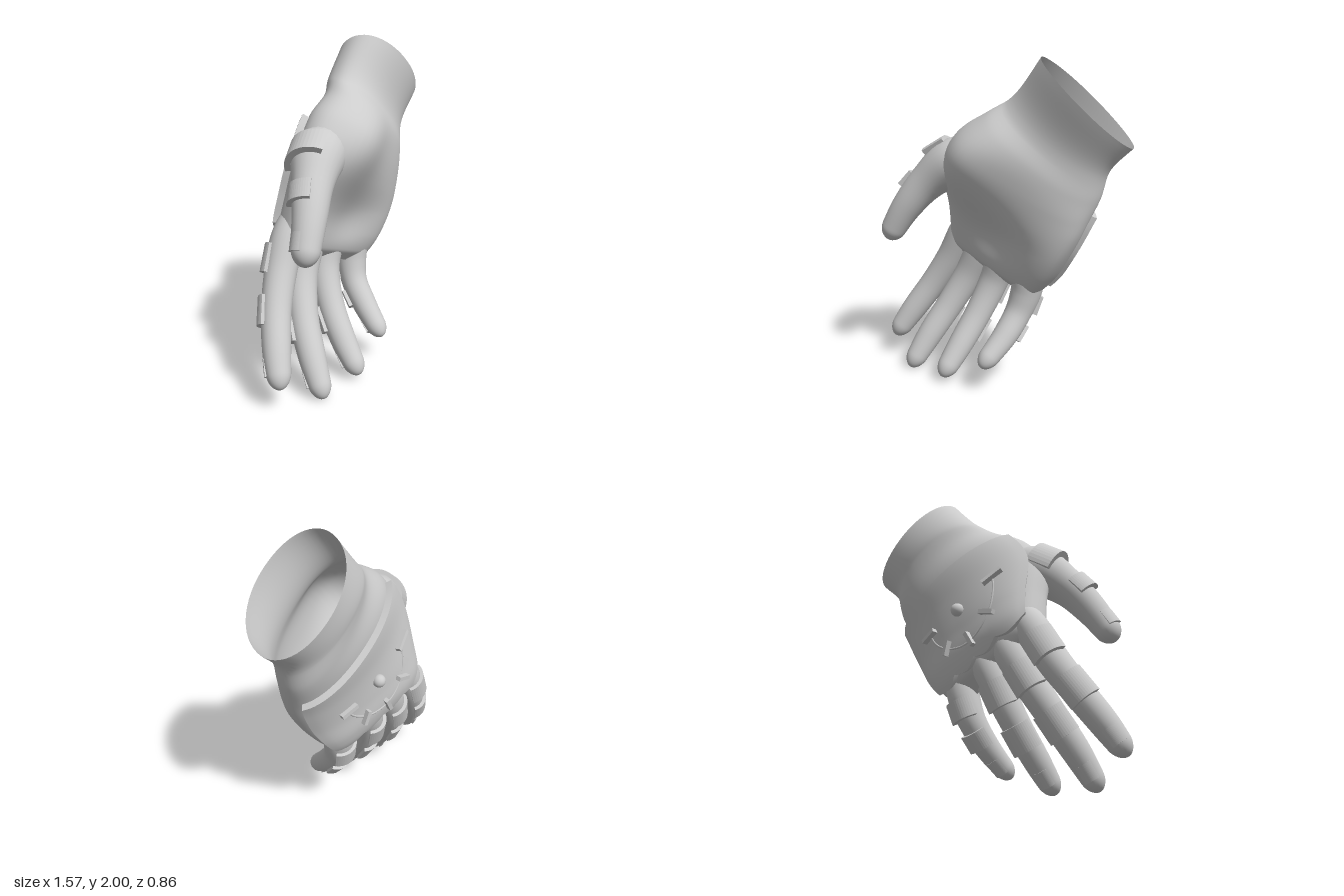
import * as THREE from 'three';
import { mergeVertices, toCreasedNormals } from 'three/addons/utils/BufferGeometryUtils.js';

const V = (x, y, z) => new THREE.Vector3(x, y, z);
const material = new THREE.MeshStandardMaterial({ color: 0xcccccc, side: THREE.DoubleSide });

function addMesh(parent, name, geometry) {
  const m = new THREE.Mesh(geometry, material);
  m.name = name;
  parent.add(m);
  return m;
}

// Skin of closed rings: point(i, j) for rings i = 0..rows and steps j = 0..cols-1
function skin(rows, cols, point) {
  const pos = [], idx = [];
  for (let i = 0; i <= rows; i++)
    for (let j = 0; j < cols; j++) pos.push(...point(i, j).toArray());
  for (let i = 0; i < rows; i++)
    for (let j = 0; j < cols; j++) {
      const k = (j + 1) % cols;
      const a = i * cols + j, b = i * cols + k;
      idx.push(a, b, a + cols, b, b + cols, a + cols);
    }
  let g = new THREE.BufferGeometry();
  g.setAttribute('position', new THREE.Float32BufferAttribute(pos, 3));
  g.setIndex(idx);
  g = mergeVertices(g, 1e-5);
  g.computeVertexNormals();
  return g;
}

// Turn a mesh so its z follows `along` and its y leans towards `up`
function orient(mesh, position, along, up) {
  const z = along.clone().normalize();
  const y = up.clone().addScaledVector(z, -up.dot(z)).normalize();
  const x = y.clone().cross(z);
  mesh.quaternion.setFromRotationMatrix(new THREE.Matrix4().makeBasis(x, y, z));
  mesh.position.copy(position);
}

// Palm sections from the wrist to the finger roots:
// thumb-side edge, little-finger-side edge, [front, back] swell
const sections = [
  [V(0.24, 1.97, -0.2), V(0.78, 1.53, -0.22), 0.23, 0.23],
  [V(0.07, 1.78, -0.12), V(0.65, 1.37, -0.2), 0.19, 0.23],
  [V(-0.04, 1.69, -0.02), V(0.605, 1.2, -0.18), 0.21, 0.25],
  [V(-0.23, 1.57, 0.04), V(0.57, 1.08, -0.14), 0.2, 0.26],
  [V(-0.37, 1.37, 0.07), V(0.53, 0.97, -0.11), 0.17, 0.24],
  [V(-0.41, 1.1, 0), V(0.46, 0.84, -0.09), 0.14, 0.19],
  [V(-0.43, 0.94, -0.03), V(0.36, 0.7, -0.09), 0.12, 0.16],
  [V(-0.44, 0.84, -0.03), V(0.27, 0.61, -0.09), 0.085, 0.115],
  [V(-0.39, 0.76, -0.02), V(0.2, 0.56, -0.08), 0.01, 0.01],
];
const thumbEdge = new THREE.CatmullRomCurve3(sections.map(s => s[0]));
const outerEdge = new THREE.CatmullRomCurve3(sections.map(s => s[1]));
const swell = new THREE.CatmullRomCurve3(sections.map((s, i) => V(s[2], s[3], i * 0.1)));
const bump = (x, width) => Math.exp(-x * x / (width * width));

// Point of the palm at t along and u = -1..1 across, on the front or the back
function palmPoint(t, u, front) {
  const w = swell.getPoint(t);
  // Oval at the wrist, boxier towards the knuckles
  const e = 2.1 + 1.1 * THREE.MathUtils.smoothstep(t, 0.4, 0.9);
  const h = Math.pow(Math.max(0, 1 - Math.pow(Math.abs(u), e)), 1 / e);
  const p = thumbEdge.getPoint(t).lerp(outerEdge.getPoint(t), (u + 1) / 2);
  // Ball of the thumb and hollow of the palm
  const relief = 0.115 * bump(u + 0.58, 0.5) * bump(t - 0.4, 0.15) - 0.04 * bump(u, 0.45) * bump(t - 0.66, 0.12);
  p.z += front ? (w.x + relief) * h : -w.y * h;
  // The wrist opening is tilted, higher in front
  p.y += (front ? 0.1 : -0.1) * h * Math.max(0, 1 - t * 6);
  return p;
}

// Back of the hand: normal, and a point raised along it
function backNormal(t, u) {
  const e = 0.01;
  const du = palmPoint(t, u + e, false).sub(palmPoint(t, u - e, false));
  const dt = palmPoint(t + e, u, false).sub(palmPoint(t - e, u, false));
  return du.cross(dt).normalize();
}
const onBack = (t, u, lift) => palmPoint(t, u, false).addScaledVector(backNormal(t, u), lift);

// A digit: points are [x, y, z, radius]; plates are [position along, length, spread]
function addDigit(hand, name, points, back, plates) {
  const group = new THREE.Group();
  group.name = name;
  hand.add(group);
  const curve = new THREE.CatmullRomCurve3(points.map(p => V(p[0], p[1], p[2])));
  curve.arcLengthDivisions = 400;
  const radii = new THREE.CatmullRomCurve3(points.map((p, i) => V(p[3], i * 0.1, 0)));
  const radius = s => radii.getPoint(curve.getUtoTmapping(s)).x;
  const roundFrom = 1 - 0.085 / curve.getLength();

  addMesh(group, name + 'Skin', skin(48, 24, (i, j) => {
    const s = Math.sin(i / 48 * Math.PI / 2);
    const k = Math.max(0, (s - roundFrom) / (1 - roundFrom));
    const r = radius(s) * Math.sqrt(Math.max(0, 1 - k * k));
    const T = curve.getTangentAt(s);
    const X = back.clone().addScaledVector(T, -back.dot(T)).normalize();
    const Y = T.clone().cross(X);
    const a = j / 24 * Math.PI * 2;
    return curve.getPointAt(s).addScaledVector(X, r * Math.cos(a)).addScaledVector(Y, r * Math.sin(a));
  }));

  // Curved armour plates, and a thin nail close to the tip
  const shells = plates.map(p => [...p, 0.022, 'Plate']);
  shells.push([roundFrom - 0.04, 0.1, 0.6, 0.006, 'Nail']);
  for (const [s, length, spread, thick, label] of shells) {
    const r = radius(s), mid = Math.PI / 2;
    const arc = new THREE.Shape();
    arc.absarc(0, 0, r + thick, mid - spread, mid + spread, false);
    arc.absarc(0, 0, r - 0.015, mid + spread, mid - spread, true);
    const g = new THREE.ExtrudeGeometry(arc, { depth: length, bevelEnabled: false, curveSegments: 8 });
    g.translate(0, 0, -length / 2);
    orient(addMesh(group, name + label, g), curve.getPointAt(s), curve.getTangentAt(s), back);
  }
}

export function createModel() {
  const hand = new THREE.Group();
  hand.name = 'glovedHand';

  // Palm and open wrist
  addMesh(hand, 'palm', skin(72, 56, (i, j) => {
    const a = j / 56 * Math.PI * 2;
    return palmPoint(i / 72, Math.cos(a), j <= 28);
  }));

  // Fingers and thumb
  addDigit(hand, 'indexFinger', [
    [-0.28, 1.05, -0.06, 0.07], [-0.385, 0.87, -0.06, 0.1], [-0.475, 0.69, -0.025, 0.096],
    [-0.575, 0.5, 0.05, 0.088], [-0.67, 0.3, 0.165, 0.081], [-0.735, 0.13, 0.27, 0.062],
  ], V(-0.46, 0.1, -0.85), [[0.33, 0.17, 1], [0.6, 0.17, 1]]);
  addDigit(hand, 'middleFinger', [
    [-0.13, 1.0, -0.08, 0.07], [-0.22, 0.8, -0.08, 0.105], [-0.31, 0.6, -0.035, 0.096],
    [-0.385, 0.4, 0.065, 0.088], [-0.44, 0.2, 0.2, 0.081], [-0.475, 0, 0.34, 0.06],
  ], V(-0.38, 0.1, -0.9), [[0.38, 0.17, 1], [0.63, 0.17, 1]]);
  addDigit(hand, 'ringFinger', [
    [0.02, 0.98, -0.1, 0.07], [-0.04, 0.78, -0.095, 0.105], [-0.1, 0.6, -0.065, 0.094],
    [-0.14, 0.4, 0.03, 0.085], [-0.163, 0.2, 0.175, 0.078], [-0.17, 0.03, 0.32, 0.06],
  ], V(-0.33, 0.1, -0.92), [[0.41, 0.16, 1], [0.65, 0.16, 1]]);
  addDigit(hand, 'littleFinger', [
    [0.22, 0.9, -0.12, 0.07], [0.185, 0.72, -0.105, 0.1], [0.16, 0.57, -0.09, 0.095],
    [0.14, 0.45, -0.045, 0.083], [0.13, 0.32, 0.06, 0.076], [0.11, 0.16, 0.24, 0.058],
  ], V(-0.15, 0.1, -0.97), [[0.44, 0.12, 1], [0.64, 0.11, 1]]);
  addDigit(hand, 'thumb', [
    [0.02, 1.4, -0.04, 0.06], [-0.13, 1.39, 0.03, 0.12], [-0.28, 1.355, 0.1, 0.155],
    [-0.42, 1.23, 0.2, 0.118], [-0.525, 1.07, 0.29, 0.096], [-0.635, 0.85, 0.37, 0.072],
  ], V(-0.5, 0.75, -0.35), [[0.375, 0.15, 1.05], [0.62, 0.11, 0.85]]);

  // Plate on the back of the hand, with a scalloped edge over the knuckles
  const n = 32, rows = 24, uMin = -0.92, uMax = 0.9;
  const plate = skin(rows + 2, 2 * (n + 1), (i, j) => {
    const outer = j > n;
    const k = (outer ? j - n - 1 : n - j) / n;
    const u = THREE.MathUtils.lerp(uMin, uMax, k);
    const end = 0.75 + 0.1 * Math.sqrt(k) + 0.03 * Math.abs(Math.sin(k * Math.PI * 4));
    const row = THREE.MathUtils.clamp(i - 1, 0, rows) / rows;
    const open = i > 0 && i < rows + 2;
    return onBack(THREE.MathUtils.lerp(0.38, end, row), u, outer && open ? 0.04 : -0.02);
  });
  addMesh(hand, 'backPlate', toCreasedNormals(plate, 0.6));

  // Dial on the plate: hub, arc and five pins
  const dialAt = (a, r, lift) => onBack(0.57 + 0.165 * r * Math.cos(a), -0.06 - 0.52 * r * Math.sin(a), lift);
  const dial = new THREE.Group();
  dial.name = 'dial';
  hand.add(dial);
  addMesh(dial, 'dialHub', new THREE.SphereGeometry(0.04, 24, 16)).position.copy(dialAt(0, 0, 0.05));
  const turn = i => THREE.MathUtils.degToRad(-88 + 190 * i);
  const arc = [];
  for (let i = 0; i <= 24; i++) arc.push(dialAt(turn(i / 24), 1, 0.038));
  addMesh(dial, 'dialArc', new THREE.TubeGeometry(new THREE.CatmullRomCurve3(arc), 48, 0.007, 6));
  for (let i = 0; i < 5; i++) {
    const p = dialAt(turn(i / 4), 0.78, 0.054), q = dialAt(turn(i / 4), 1.22, 0.054);
    const pin = addMesh(dial, 'dialPin', new THREE.BoxGeometry(0.026, 0.035, p.distanceTo(q)));
    orient(pin, p.clone().add(q).multiplyScalar(0.5), q.clone().sub(p), V(0, 0, -1));
  }
  return hand;
}
